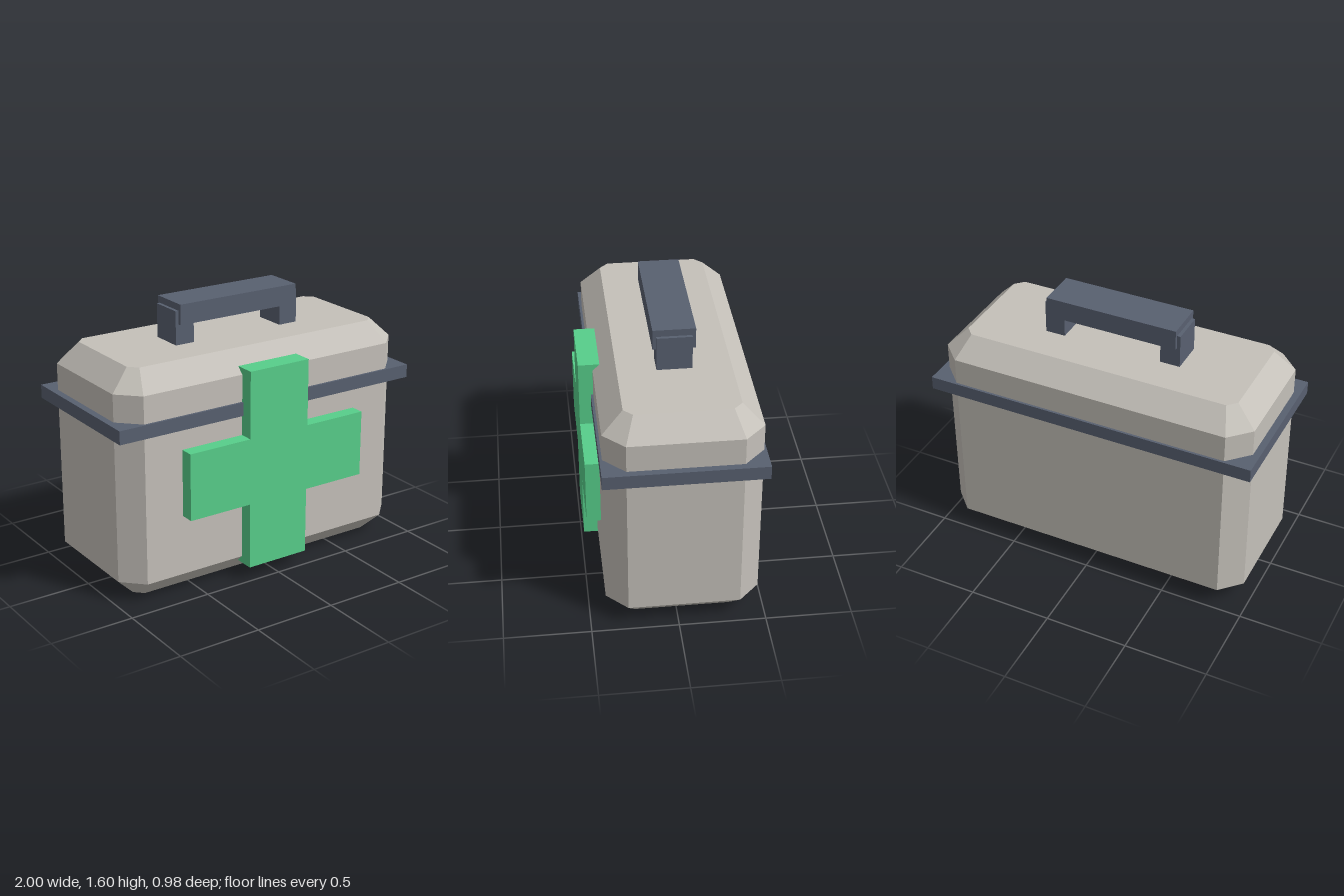
import * as THREE from 'three';

const shell = new THREE.MeshStandardMaterial({ color: 0xc4c0b9 });
shell.name = 'warm grey shell';
const trim = new THREE.MeshStandardMaterial({ color: 0x586070 });
trim.name = 'slate trim';
const green = new THREE.MeshStandardMaterial({ color: 0x57ce8a });
green.name = 'green';

const CASE_Z = -0.034; // the case sits slightly back, balancing the cross

function polygon(points) {
  return new THREE.Shape(points.map(([x, y]) => new THREE.Vector2(x, y)));
}

function add(group, name, geometry, material, x, y, z) {
  const mesh = new THREE.Mesh(geometry, material);
  mesh.name = name;
  mesh.position.set(x, y, z);
  group.add(mesh);
  return mesh;
}

export function createModel() {
  const model = new THREE.Group();
  model.name = 'firstAidCase';

  // Case: small cut-corner rectangle, extruded upward with a wide chamfer
  const w = 0.84, d = 0.32, c = 0.05, bevel = 0.12, height = 1.36;
  const outline = polygon([
    [w - c, -d], [w, -d + c], [w, d - c], [w - c, d],
    [-w + c, d], [-w, d - c], [-w, -d + c], [-w + c, -d],
  ]);
  const caseGeometry = new THREE.ExtrudeGeometry(outline, {
    depth: height - 2 * bevel, bevelEnabled: true,
    bevelThickness: bevel, bevelSize: bevel, bevelSegments: 1,
  });
  caseGeometry.rotateX(-Math.PI / 2);
  add(model, 'caseBody', caseGeometry, shell, 0, bevel, CASE_Z);

  // Band around the lid seam
  add(model, 'lidBand', new THREE.BoxGeometry(2, 0.08, 0.908), trim, 0, 1.04, CASE_Z);

  // Raised cross on the front
  const a = 0.2, b = 0.6;
  const cross = polygon([
    [a, -b], [a, -a], [b, -a], [b, a], [a, a], [a, b],
    [-a, b], [-a, a], [-b, a], [-b, -a], [-a, -a], [-a, -b],
  ]);
  const crossGeometry = new THREE.ExtrudeGeometry(cross, { depth: 0.122, bevelEnabled: false });
  add(model, 'frontCross', crossGeometry, green, 0, 0.68, 0.366);

  // Carrying handle: grip on two posts
  const handle = new THREE.Group();
  handle.name = 'handle';
  add(handle, 'handleGrip', new THREE.BoxGeometry(0.8, 0.12, 0.24), trim, 0, 1.54, CASE_Z);
  for (const [side, name] of [[1, 'leftHandlePost'], [-1, 'rightHandlePost']]) {
    add(handle, name, new THREE.BoxGeometry(0.12, 0.22, 0.2), trim, side * 0.36, 1.45, CASE_Z);
  }
  model.add(handle);

  return model;
}
